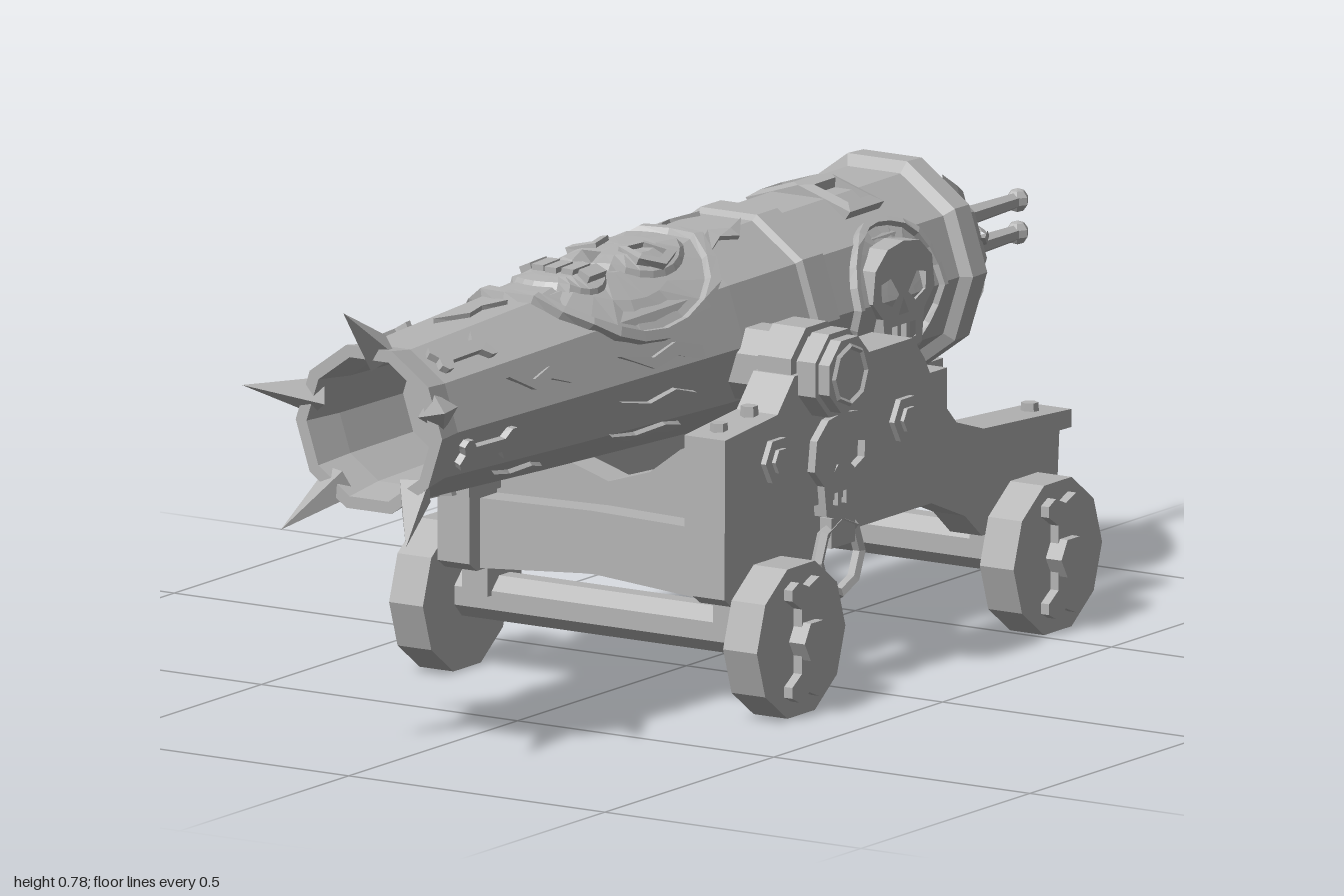
import * as THREE from 'three';

const stone = new THREE.MeshStandardMaterial({ color: 0xb4b4b4 });
stone.name = 'plain grey';
const AXIS = 0.567;

// Barrel outline as [z, radius], tail to muzzle, then back into the bore
const PROFILE = [[-0.82, 0], [-0.8, 0.035], [-0.755, 0.075], [-0.7, 0.125], [-0.62, 0.158], [-0.61, 0.185], [-0.565, 0.187],
  [-0.555, 0.167], [-0.195, 0.165], [-0.185, 0.178], [-0.125, 0.178], [-0.115, 0.169], [0.08, 0.167], [0.5, 0.151],
  [0.88, 0.134], [0.94, 0.143], [0.94, 0.122], [0.86, 0.11], [0.68, 0.105], [0.68, 0]];

function flat(geo) {
  const g = geo.index ? geo.toNonIndexed() : geo;
  g.computeVertexNormals();
  return g;
}
function add(parent, name, geo, x = 0, y = 0, z = 0) {
  const m = new THREE.Mesh(flat(geo), stone);
  m.name = name;
  m.position.set(x, y, z);
  parent.add(m);
  return m;
}
const shapeOf = (pts) => new THREE.Shape(pts.map((p) => new THREE.Vector2(p[0], p[1])));
const mirrorPts = (half) => half.concat(half.filter((p) => p[0] !== 0).reverse().map((p) => [-p[0], p[1]]));
const extrude = (shape, depth) => new THREE.ExtrudeGeometry(shape, { depth, bevelEnabled: false });
// Prism along x with a flat side facing up
const rodX = (r, len, n) => new THREE.CylinderGeometry(r, r, len, n).rotateY(Math.PI / 2 + Math.PI / n).rotateZ(Math.PI / 2);

// Extrusion of a (z, y) outline between two x planes
function sidePlate(pts, x0, x1) {
  const s = pts instanceof THREE.Shape ? pts : shapeOf(pts);
  return extrude(s, x1 - x0).rotateY(-Math.PI / 2).translate(x1, 0, 0);
}

// Ten-sided barrel surface radius at a height z and angle a
function surface(z, a) {
  let r = 0.14;
  for (let i = 0; i < 14; i++) {
    const [z0, r0] = PROFILE[i], [z1, r1] = PROFILE[i + 1];
    if (z >= z0 && z <= z1) r = r0 + (r1 - r0) * (z - z0) / (z1 - z0);
  }
  const step = Math.PI / 5, t = ((a % step) + step) % step - step / 2;
  return r * Math.cos(step / 2) / Math.cos(t);
}
// Bends a flat ornament (x = around, y = along, z = out) onto the barrel
function wrap(geo, theta, zc) {
  const p = geo.attributes.position;
  for (let i = 0; i < p.count; i++) {
    const a = theta + p.getX(i) / 0.16, z = zc + p.getY(i), r = surface(z, a) + p.getZ(i);
    p.setXYZ(i, r * Math.cos(a), AXIS + r * Math.sin(a), z);
  }
  return geo;
}
// Raised oval with a moulded section [radius fraction, height]
const oval = (ru, rz, section) => new THREE.LatheGeometry(section.map((s) => new THREE.Vector2(s[0], s[1])), 24)
  .rotateX(Math.PI / 2).scale(ru, rz, 1);
const RIMMED = [[1, -0.01], [0.98, 0.014], [0.9, 0.014], [0.88, 0.004], [0.6, 0.006], [0.3, 0.008], [0, 0.009]];

function bone(w, len, d) {
  const half = [[0, 0.44], [0.3, 0.5], [0.5, 0.45], [0.5, 0.36], [0.22, 0.27], [0.22, -0.27],
    [0.5, -0.36], [0.5, -0.45], [0.3, -0.5], [0, -0.44]];
  return extrude(shapeOf(mirrorPts(half).map((p) => [p[0] * w, p[1] * len])), d);
}
// Skull plate with open eyes, nose and tooth gaps
function skullShape(s) {
  const at = (pts) => pts.map((p) => [p[0] * s, p[1] * s]);
  const sh = shapeOf(at(mirrorPts([[0, 0.5], [0.25, 0.46], [0.44, 0.3], [0.48, 0.02], [0.32, -0.14], [0.28, -0.43], [0, -0.5]])));
  const holes = [[[0, 0], [0.08, -0.14], [-0.08, -0.14]]];
  for (const k of [-1, 1]) holes.push([[0.07 * k, 0.04], [0.2 * k, 0.2], [0.35 * k, 0.17], [0.34 * k, 0.02], [0.18 * k, -0.05]]);
  for (const x of [-0.14, 0, 0.14]) holes.push([[x - 0.04, -0.23], [x + 0.04, -0.23], [x + 0.04, -0.37], [x - 0.04, -0.37]]);
  holes.forEach((h) => sh.holes.push(shapeOf(at(h))));
  return sh;
}
function frame(w, h, t, d) {
  const box = (a, b) => [[-a, -b], [a, -b], [a, b], [-a, b]];
  const s = shapeOf(box(w, h));
  s.holes.push(shapeOf(box(w - t, h - t)));
  return extrude(s, d);
}
// Curled flame tongue
const flame = (l, k) => extrude(shapeOf([[0, 0], [0.018 * k, 0.3 * l], [0.004 * k, 0.6 * l], [0.022 * k, l],
  [-0.014 * k, 0.62 * l], [-0.004 * k, 0.32 * l], [-0.022 * k, 0]]), 0.016).translate(0, 0, -0.008);

function buildBarrel() {
  const g = new THREE.Group();
  g.name = 'barrel';
  const pts = PROFILE.map(([z, r]) => new THREE.Vector2(r, z));
  add(g, 'barrelBody', new THREE.LatheGeometry(pts, 10, Math.PI / 10).rotateX(Math.PI / 2), 0, AXIS, 0);

  // Muzzle spikes
  for (let i = 0; i < 5; i++) {
    const a = Math.PI / 2 + i * Math.PI * 2 / 5;
    const cone = new THREE.ConeGeometry(0.034, 0.135, 4).translate(0, 0.0675, 0).rotateX(0.88);
    add(g, 'muzzleSpike', cone.translate(0, 0.122, 0.912).rotateZ(a - Math.PI / 2), 0, AXIS, 0);
    add(g, 'muzzleBone', wrap(bone(0.06, 0.15, 0.02).translate(0, 0, -0.008), a + Math.PI / 5, 0.79));
    add(g, 'muzzleFlame', wrap(flame(0.16, 1), a, 0.56));
  }

  // Fuse cords and ridges running over the tail dome
  for (const y of [0.597, 0.543]) {
    add(g, 'fuseCord', new THREE.CylinderGeometry(0.013, 0.019, 0.23, 6).rotateX(-Math.PI / 2), 0, y, -0.87);
    add(g, 'fuseTip', new THREE.SphereGeometry(0.02, 6, 5), 0, y, -0.98);
  }
  for (let i = 0; i < 8; i++) {
    const a = i * Math.PI / 4 + 0.3, end = i % 2 ? -0.65 : -0.69;
    const path = [[-0.82, 0], [-0.77, 0.08], [-0.72, -0.06], [end, 0.05]].map(([z, da]) => {
      const r = surface(z, a + da) + 0.004;
      return new THREE.Vector3(r * Math.cos(a + da), AXIS + r * Math.sin(a + da), z);
    });
    add(g, 'domeRidge', new THREE.TubeGeometry(new THREE.CatmullRomCurve3(path), 8, 0.012, 5));
  }

  // Large face laid over the top of the barrel
  const top = Math.PI / 2;
  add(g, 'faceShield', wrap(oval(0.205, 0.26, RIMMED), top, 0.285));
  add(g, 'faceCranium', wrap(oval(0.105, 0.13, [[1, 0], [0.85, 0.014], [0.5, 0.017], [0, 0.019]]), top, 0.2));
  add(g, 'faceJaw', wrap(oval(0.09, 0.08, [[1, 0], [0.88, 0.013], [0.5, 0.015], [0, 0.016]]), top, 0.38));
  add(g, 'faceNose', wrap(new THREE.ConeGeometry(0.02, 0.07, 4).rotateX(Math.PI), top, 0.275).translate(0, 0.014, 0));
  for (const k of [-1, 1]) {
    const eye = shapeOf([[0.02 * k, 0.03], [0.065 * k, 0.045], [0.09 * k, 0], [0.075 * k, -0.05], [0.03 * k, -0.025]]);
    eye.holes.push(shapeOf([[0.03 * k, 0.022], [0.06 * k, 0.03], [0.076 * k, 0], [0.067 * k, -0.032], [0.037 * k, -0.014]]));
    add(g, 'faceEye', wrap(extrude(eye, 0.02).translate(0, 0, 0.006), top, 0.205));
    add(g, 'bandWindow', wrap(frame(0.05, 0.05, 0.018, 0.027).translate(0.05 * k, 0, -0.01), top, -0.38));
    add(g, 'crownFlame', wrap(flame(0.15, k).rotateZ(Math.PI).translate(0.06 * k, 0, 0), top, 0.05));
  }
  for (let i = -2; i <= 2; i++) {
    add(g, 'faceTooth', wrap(new THREE.BoxGeometry(0.021, 0.05, 0.02).translate(i * 0.027, 0, 0.015), top, 0.378 - Math.abs(i) * 0.006));
  }
  return g;
}

// Everything repeated on each side
function buildSide() {
  const g = new THREE.Group();
  // Side medallion with skull, and flames behind the shield
  add(g, 'medallion', wrap(oval(0.135, 0.13, RIMMED), 0, -0.375));
  add(g, 'medallionSkull', sidePlate(skullShape(0.19), 0.14, 0.177), 0, AXIS, -0.375);
  for (const a of [-0.75, -0.35, 0.15]) add(g, 'sideFlame', wrap(flame(0.22, 1), a, 0.2));

  // Trunnion
  add(g, 'trunnion', rodX(0.065, 0.21, 8), 0.24, 0.535, 0.04);
  add(g, 'trunnionCollar', rodX(0.075, 0.034, 8), 0.307, 0.535, 0.04);
  add(g, 'trunnionEnd', new THREE.TorusGeometry(0.048, 0.012, 4, 8).rotateY(Math.PI / 2), 0.338, 0.535, 0.04);
  add(g, 'trunnionCap', rodX(0.082, 0.065, 8), 0.248, 0.535, 0.04);

  // Carriage cheek, upper and lower planks
  add(g, 'upperCheek', sidePlate([[0.325, 0.315], [0.325, 0.47], [0.17, 0.485], [0.12, 0.54], [-0.23, 0.54], [-0.265, 0.5],
    [-0.305, 0.43], [-0.36, 0.375], [-0.44, 0.35], [-0.7, 0.335], [-0.7, 0.305], [-0.4, 0.31]], 0.21, 0.29));
  add(g, 'lowerCheek', sidePlate([[0.312, 0.32], [0.312, 0.2], [0.29, 0.185], [0.08, 0.185], [0.05, 0.225], [-0.02, 0.25], [-0.3, 0.25],
    [-0.4, 0.21], [-0.45, 0.168], [-0.67, 0.168], [-0.68, 0.31], [-0.4, 0.315]], 0.218, 0.28));
  for (const z of [0.18, -0.2]) {
    add(g, 'boltWasher', rodX(0.04, 0.02, 6), 0.29, 0.412, z);
    add(g, 'boltHead', rodX(0.022, 0.022, 6), 0.296, 0.412, z);
  }
  for (const [z, y] of [[0.28, 0.475], [0.19, 0.487], [-0.09, 0.545], [-0.35, 0.385], [-0.64, 0.34]]) {
    add(g, 'topBolt', new THREE.CylinderGeometry(0.014, 0.016, 0.025, 6), 0.248, y, z);
  }
  // Skull plate holding a ring
  add(g, 'cheekSkull', sidePlate(skullShape(0.18), 0.28, 0.304), 0, 0.37, -0.005);
  add(g, 'ringLoop', new THREE.BoxGeometry(0.035, 0.05, 0.07), 0.285, 0.262, -0.005);
  add(g, 'ring', new THREE.TorusGeometry(0.062, 0.011, 5, 8).rotateY(Math.PI / 2), 0.293, 0.217, -0.005);

  // Wheels with bone ornaments, hubs and axle brackets
  for (const z of [0.205, -0.555]) {
    add(g, 'wheel', rodX(0.131, 0.066, 10), 0.326, 0.1246, z);
    add(g, 'wheelBone', bone(0.1, 0.2, 0.018).rotateY(Math.PI / 2), 0.357, 0.127, z);
    add(g, 'wheelHub', rodX(0.036, 0.035, 6), 0.3725, 0.127, z);
    add(g, 'axleBracket', new THREE.BoxGeometry(0.05, 0.06, 0.1), 0.245, 0.165, z);
  }
  return g;
}

export function createModel() {
  const model = new THREE.Group();
  model.name = 'cannon';
  model.add(buildBarrel());
  for (const k of [1, -1]) {
    const side = buildSide();
    side.name = k > 0 ? 'leftSide' : 'rightSide';
    side.scale.x = k;
    model.add(side);
  }
  // Axles
  for (const z of [0.205, -0.555]) add(model, 'axle', rodX(0.041, 0.7, 8), 0, 0.127, z);

  // Front transom: lower board and hollowed upper board
  add(model, 'lowerTransom', extrude(shapeOf(mirrorPts([[0, 0.205], [0.22, 0.188], [0.22, 0.305], [0, 0.31]])), 0.07), 0, 0, 0.21);
  add(model, 'upperTransom', extrude(shapeOf(mirrorPts([[0, 0.3], [0.22, 0.3], [0.22, 0.455], [0.14, 0.42], [0.08, 0.375], [0, 0.35]])), 0.06), 0, 0, 0.17);

  // Rear wedge block with a buckle
  add(model, 'rearBlock', new THREE.BoxGeometry(0.12, 0.11, 0.16), 0, 0.325, -0.6);
  add(model, 'blockTop', new THREE.BoxGeometry(0.08, 0.03, 0.1), 0, 0.385, -0.59);
  add(model, 'buckle', frame(0.035, 0.068, 0.014, 0.02).rotateY(Math.PI / 2), -0.01, 0.31, -0.71);
  return model;
}
